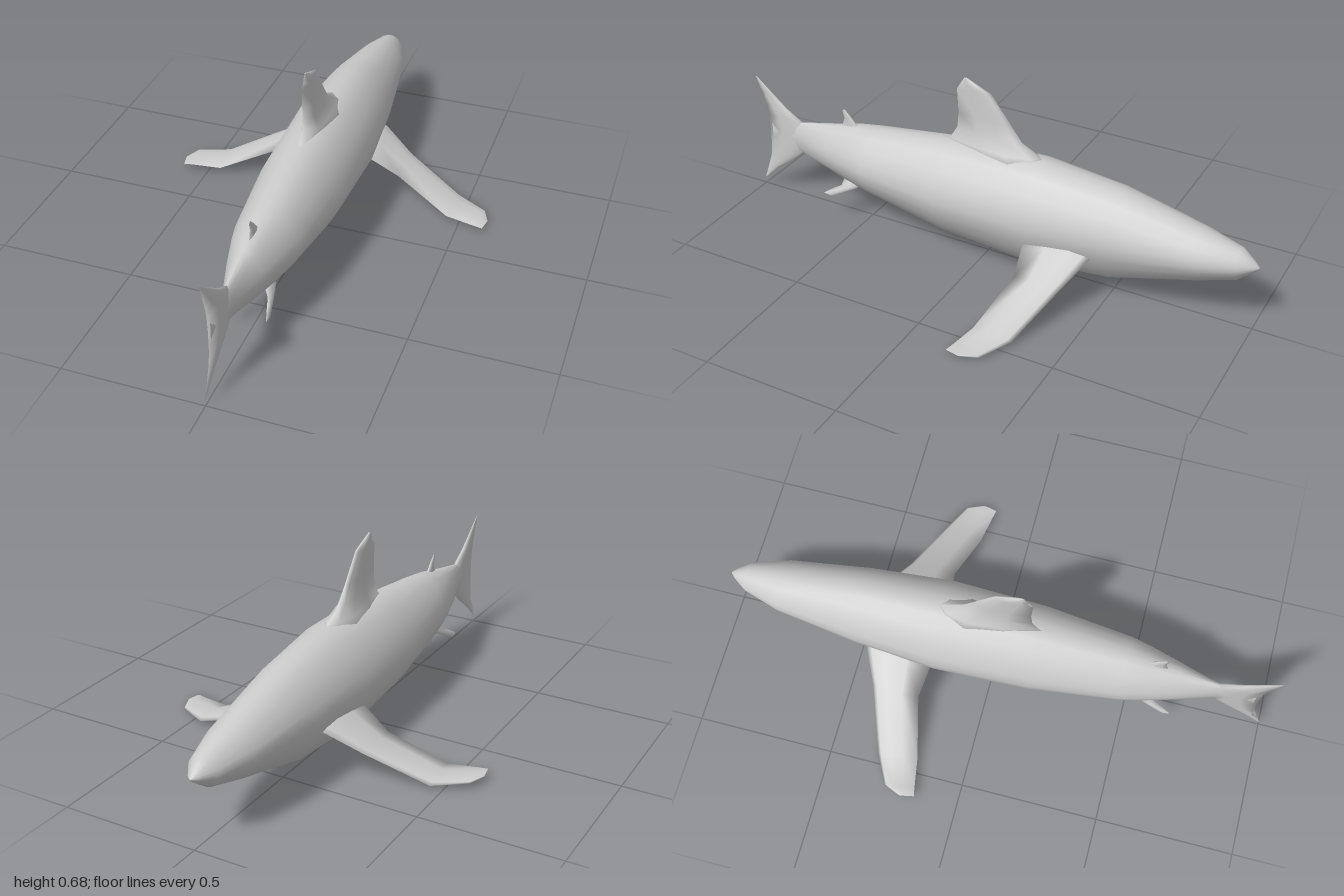
import * as THREE from 'three';

const material = new THREE.MeshStandardMaterial({ color: 0xcccccc, side: THREE.DoubleSide });

// Skins a list of closed rings (arrays of [x, y, z]) and closes both ends.
function loft(name, rings) {
  const n = rings[0].length;
  const centre = ring => [0, 1, 2].map(k => ring.reduce((s, p) => s + p[k], 0) / n);
  const all = [
    Array(n).fill(centre(rings[0])), ...rings, Array(n).fill(centre(rings[rings.length - 1])),
  ];
  const points = all.flat().map(p => new THREE.Vector3(...p));
  const faces = [];
  for (let i = 0; i < all.length - 1; i++) {
    for (let j = 0; j < n; j++) {
      const a = i * n + j, b = i * n + (j + 1) % n;
      faces.push([a, b, b + n], [a, b + n, a + n]);
    }
  }
  // Signed volume tells whether the faces point outwards
  const volume = faces.reduce((s, [a, b, c]) =>
    s + points[a].dot(new THREE.Vector3().crossVectors(points[b], points[c])), 0);
  const index = faces.flatMap(f => (volume < 0 ? [f[0], f[2], f[1]] : f));
  const geometry = new THREE.BufferGeometry().setFromPoints(points);
  geometry.setIndex(index);
  geometry.computeVertexNormals();
  const mesh = new THREE.Mesh(geometry, material);
  mesh.name = name;
  return mesh;
}

// Fin profile: [fraction from leading to trailing edge, side offset]
const AIRFOIL = [
  [0, 0], [0.08, 0.6], [0.3, 1], [0.65, 0.7], [1, 0], [0.65, -0.7], [0.3, -1], [0.08, -0.6],
];

// Sections are [leading point, trailing point, half thickness]
function fin(name, sections, normal) {
  return loft(name, sections.map(([lead, trail, half]) =>
    AIRFOIL.map(([t, s]) =>
      lead.map((v, k) => v + (trail[k] - v) * t + normal[k] * half * s))));
}

// Upright fin on the centre line; sections are [leadY, leadZ, trailY, trailZ, half]
function centreFin(name, sections) {
  return fin(name, sections.map(([ly, lz, ty, tz, h]) => [[0, ly, lz], [0, ty, tz], h]), [1, 0, 0]);
}

// Body stations from snout to tail: [z, bottom, top, half width, widest height]
const BODY = [
  [-1.0, 0.252, 0.258, 0.004, 0.255],
  [-0.985, 0.238, 0.272, 0.02, 0.255],
  [-0.935, 0.2, 0.31, 0.055, 0.255],
  [-0.8, 0.163, 0.345, 0.097, 0.255],
  [-0.5, 0.08, 0.415, 0.137, 0.255],
  [-0.2, 0.055, 0.445, 0.162, 0.255],
  [0.15, 0.078, 0.435, 0.152, 0.255],
  [0.47, 0.133, 0.395, 0.116, 0.26],
  [0.54, 0.143, 0.385, 0.1, 0.26],
  [0.66, 0.17, 0.358, 0.066, 0.26],
  [0.8, 0.2, 0.33, 0.02, 0.265],
  [0.94, 0.22, 0.31, 0.004, 0.265],
];

// One side of the body cross-section, top to bottom, in unit size
const HALF_SECTION = [
  [0.22, 0.98], [0.5, 0.85], [0.76, 0.58], [0.94, 0.28], [1, 0],
  [0.95, -0.28], [0.76, -0.6], [0.51, -0.9], [0.2, -1],
];
const SECTION = [
  [0, 1], ...HALF_SECTION, [0, -1],
  ...HALF_SECTION.map(([x, y]) => [-x, y]).reverse(),
];

export function createModel() {
  const model = new THREE.Group();
  model.name = 'fish';

  model.add(loft('body', BODY.map(([z, bottom, top, half, mid]) =>
    SECTION.map(([x, y]) => [x * half, mid + y * (y > 0 ? top - mid : mid - bottom), z]))));

  // Tall back fin, flaring where it joins the body
  model.add(centreFin('dorsalFin', [
    [0.4, -0.25, 0.4, 0.2, 0.075],
    [0.45, -0.2, 0.44, 0.155, 0.043],
    [0.49, -0.13, 0.49, 0.125, 0.022],
    [0.55, -0.085, 0.55, 0.12, 0.014],
    [0.65, -0.01, 0.64, 0.125, 0.011],
    [0.672, 0.045, 0.665, 0.11, 0.009],
    [0.69, 0.085, 0.688, 0.096, 0.003],
  ]));

  model.add(centreFin('secondDorsalFin', [
    [0.35, 0.51, 0.34, 0.63, 0.012],
    [0.382, 0.55, 0.37, 0.615, 0.008],
    [0.41, 0.575, 0.4, 0.565 + 0.04, 0.006],
    [0.437, 0.602, 0.43, 0.612, 0.002],
  ]));

  // Crescent tail with an upper and a lower lobe
  model.add(centreFin('tailFin', [
    [0.48, 0.997, 0.478, 1.0, 0.001],
    [0.415, 0.92, 0.42, 0.98, 0.006],
    [0.37, 0.865, 0.37, 0.965, 0.01],
    [0.33, 0.8, 0.33, 0.957, 0.015],
    [0.265, 0.77, 0.265, 0.953, 0.016],
    [0.2, 0.8, 0.2, 0.954, 0.015],
    [0.155, 0.85, 0.15, 0.96, 0.01],
    [0.1, 0.925, 0.1, 0.977, 0.006],
    [0.035, 0.997, 0.037, 1.0, 0.001],
  ]));

  // Paired fins; the right pectoral tip is carried slightly higher
  for (const side of [1, -1]) {
    const label = side > 0 ? 'left' : 'right';
    const lift = side > 0 ? 0 : 0.018;
    model.add(fin(`${label}PectoralFin`, [
      [[0.07 * side, 0.215, -0.47], [0.07 * side, 0.225, -0.2], 0.024],
      [[0.14 * side, 0.185, -0.45], [0.16 * side, 0.18, -0.213], 0.022],
      [[0.25 * side, 0.118, -0.4], [0.25 * side, 0.122, -0.23], 0.017],
      [[0.46 * side, 0.022, -0.33], [0.45 * side, 0.022 + lift * 0.5, -0.182], 0.014],
      [[0.575 * side, 0.016 + lift, -0.272], [0.56 * side, 0.018 + lift, -0.162], 0.006],
      [[0.6 * side, 0.018 + lift, -0.21], [0.59 * side, 0.018 + lift, -0.156], 0.002],
    ], [0.35 * side, 0.94, 0]));

    model.add(fin(`${label}PelvicFin`, [
      [[0.035 * side, 0.185, 0.49], [0.035 * side, 0.185, 0.59], 0.014],
      [[0.052 * side, 0.145, 0.53], [0.052 * side, 0.14, 0.6], 0.01],
      [[0.062 * side, 0.118, 0.58], [0.062 * side, 0.12, 0.635], 0.007],
      [[0.072 * side, 0.093, 0.63], [0.072 * side, 0.097, 0.67], 0.003],
    ], [0.92 * side, 0.4, 0]));
  }

  return model;
}
